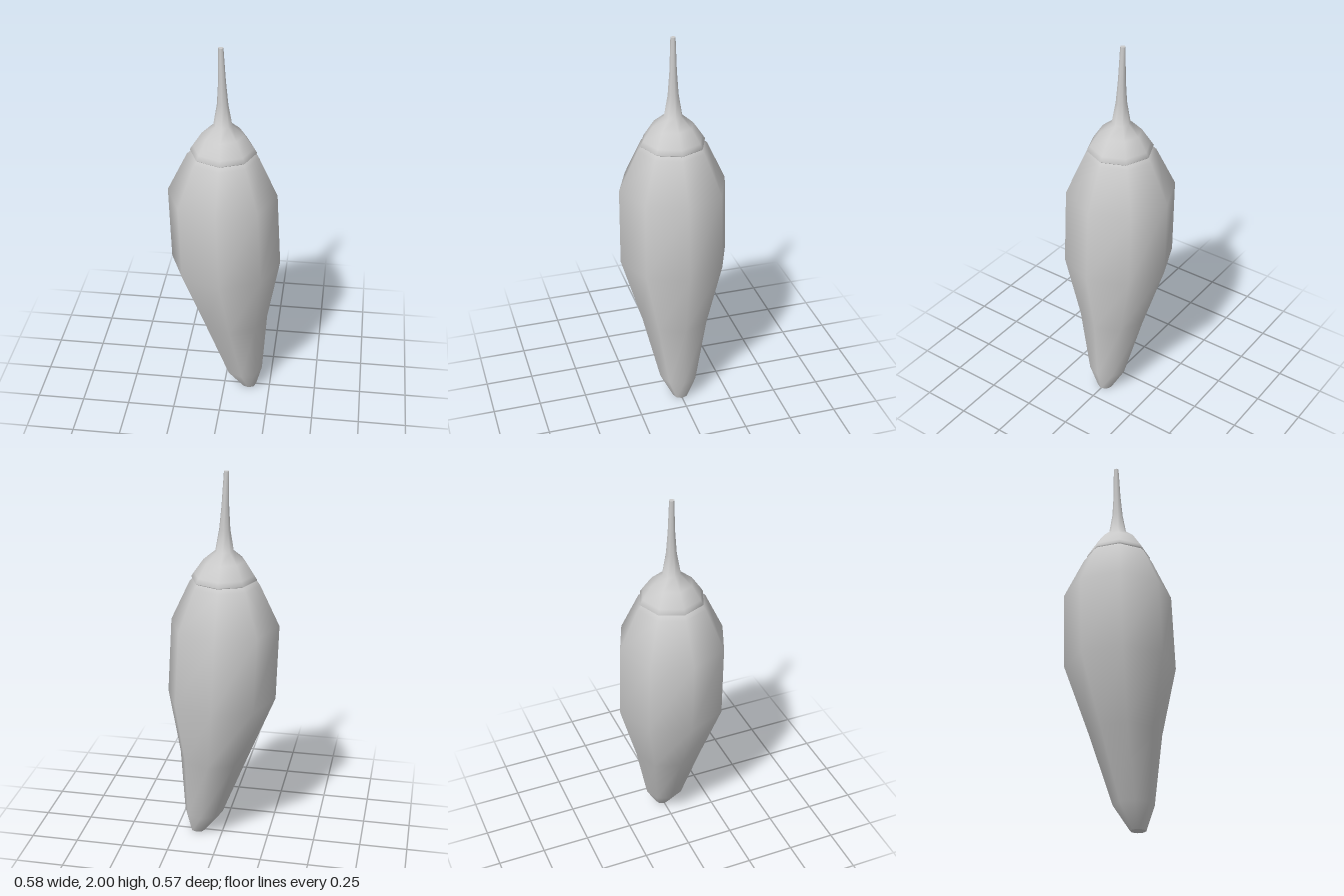
import * as THREE from 'three';

const SIDES = 8;

// Skin a stack of octagonal rings [y, centreX, radius, centreZ] with smooth sides and flat ends
function loft(rings, material, name) {
  const pos = [], index = [];
  const addRing = ([y, cx, r, cz = 0]) => {
    const start = pos.length / 3;
    for (let j = 0; j < SIDES; j++) {
      const a = (j / SIDES) * Math.PI * 2;
      pos.push(cx + r * Math.cos(a), y, cz + r * Math.sin(a));
    }
    return start;
  };

  const starts = rings.map(addRing);
  for (let i = 0; i < rings.length - 1; i++) {
    for (let j = 0; j < SIDES; j++) {
      const k = (j + 1) % SIDES;
      const a = starts[i] + j, b = starts[i + 1] + j;
      const c = starts[i] + k, d = starts[i + 1] + k;
      index.push(a, b, c, c, b, d);
    }
  }

  // End faces have their own corners so their edges stay sharp
  const bottom = addRing(rings[0]);
  const top = addRing(rings[rings.length - 1]);
  for (let j = 1; j < SIDES - 1; j++) {
    index.push(bottom, bottom + j, bottom + j + 1);
    index.push(top, top + j + 1, top + j);
  }

  const geometry = new THREE.BufferGeometry();
  geometry.setAttribute('position', new THREE.Float32BufferAttribute(pos, 3));
  geometry.setIndex(index);
  geometry.computeVertexNormals();
  const mesh = new THREE.Mesh(geometry, material);
  mesh.name = name;
  return mesh;
}

export function createModel() {
  const group = new THREE.Group();
  group.name = 'pepper';
  const material = new THREE.MeshStandardMaterial({ color: 0xcccccc });

  // Fruit: blunt tip swept to one side, full shoulders
  group.add(loft([
    [0, 0.135, 0.04],
    [0.12, 0.103, 0.103],
    [0.47, 0.045, 0.183],
    [0.82, 0.005, 0.284],
    [1.22, -0.013, 0.279],
    [1.43, -0.011, 0.18],
    [1.455, -0.01, 0.155],
  ], material, 'fruit'));

  // Calyx with a thin lip, drawn up into the curved stem
  group.add(loft([
    [1.448, -0.008, 0.158],
    [1.456, -0.008, 0.168],
    [1.48, -0.008, 0.153],
    [1.55, -0.01, 0.106],
    [1.6, -0.011, 0.047, -0.002],
    [1.71, -0.012, 0.028, -0.003],
    [1.83, -0.015, 0.019, -0.004],
    [2, -0.021, 0.013, -0.005],
  ], material, 'calyxAndStem'));

  return group;
}
